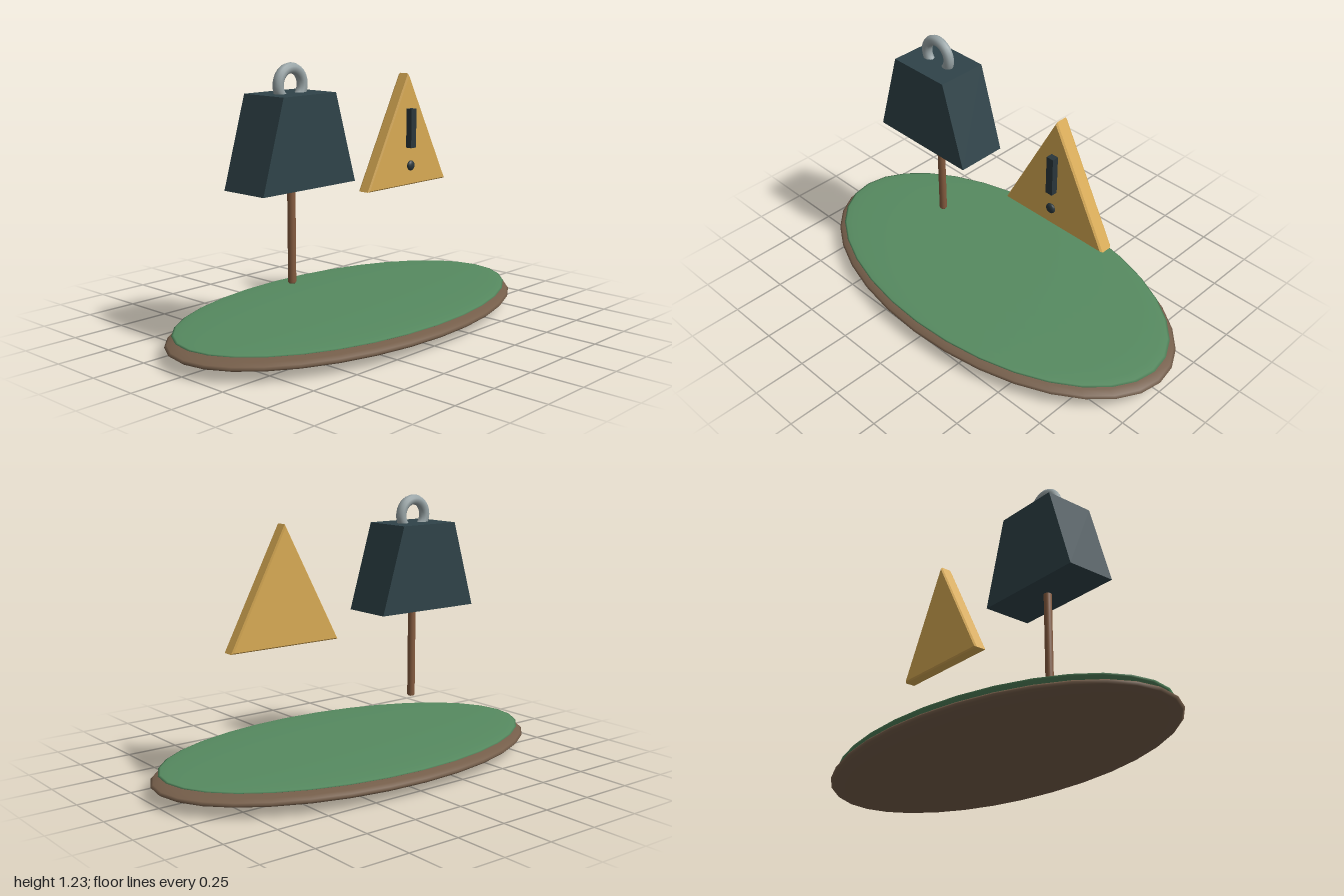
import * as THREE from 'three';

const mat = (color) => new THREE.MeshStandardMaterial({ color });

export function createModel() {
  const model = new THREE.Group();
  const slate = mat(0x2f4349), earth = mat(0x755e4a), grass = mat(0x568a60);
  const wood = mat(0x835a3e), steel = mat(0x98a4a6), yellow = mat(0xd9ab54), ink = mat(0x2a363b);

  const add = (name, geometry, material, x, y, z) => {
    const mesh = new THREE.Mesh(geometry, material);
    mesh.name = name;
    mesh.position.set(x, y, z);
    model.add(mesh);
    return mesh;
  };
  const ellipsoid = (rx, ry, rz, w = 32, h = 20) =>
    new THREE.SphereGeometry(1, w, h).scale(rx, ry, rz);
  const polygon = (points) => new THREE.Shape(points.map(([x, y]) => new THREE.Vector2(x, y)));

  // Oval island: earth body with a thin grass cap
  add('islandEarth', ellipsoid(1, 0.058, 0.545), earth, 0, 0.058, 0);
  add('islandGrass', ellipsoid(0.965, 0.0195, 0.524), grass, 0, 0.101, 0);

  // Hanging weight: trapezoid block, straight from front to back
  const block = new THREE.ExtrudeGeometry(
    polygon([[-0.275, 0], [0.275, 0], [0.155, 0.4], [-0.155, 0.4]]),
    { depth: 0.24, bevelEnabled: false });
  block.translate(0, 0, -0.12);
  add('weightBlock', block, slate, -0.375, 0.7, 0);

  // Ring set into the top of the weight
  add('weightRing', new THREE.TorusGeometry(0.071, 0.024, 10, 32), steel, -0.375, 1.135, 0);

  // Post under the weight, with a softened lower end
  const postProfile = [[0, 0.267], [0.013, 0.267], [0.018, 0.273], [0.018, 0.72], [0, 0.72]]
    .map(([r, y]) => new THREE.Vector2(r, y));
  add('post', new THREE.LatheGeometry(postProfile, 16), wood, -0.375, 0, 0);

  // Warning sign: triangle with narrow bevelled edges
  const half = 0.285, height = 0.54, bevel = 0.008;
  const baseAngle = Math.atan2(height, half);
  const inset = half - bevel / Math.tan(baseAngle / 2);
  const sign = new THREE.ExtrudeGeometry(
    polygon([[-inset, bevel], [inset, bevel], [0, height - bevel / Math.cos(baseAngle)]]),
    { depth: 0.05, bevelThickness: bevel, bevelSize: bevel, bevelSegments: 1 });
  sign.translate(0, 0, -0.025);
  add('signPanel', sign, yellow, 0.37, 0.605, 0);

  // Raised mark on the sign's front
  add('markBar', new THREE.BoxGeometry(0.036, 0.185, 0.032), ink, 0.37, 0.882, 0.048);
  add('markDot', ellipsoid(0.024, 0.024, 0.012, 16, 12), ink, 0.37, 0.704, 0.048);

  return model;
}
